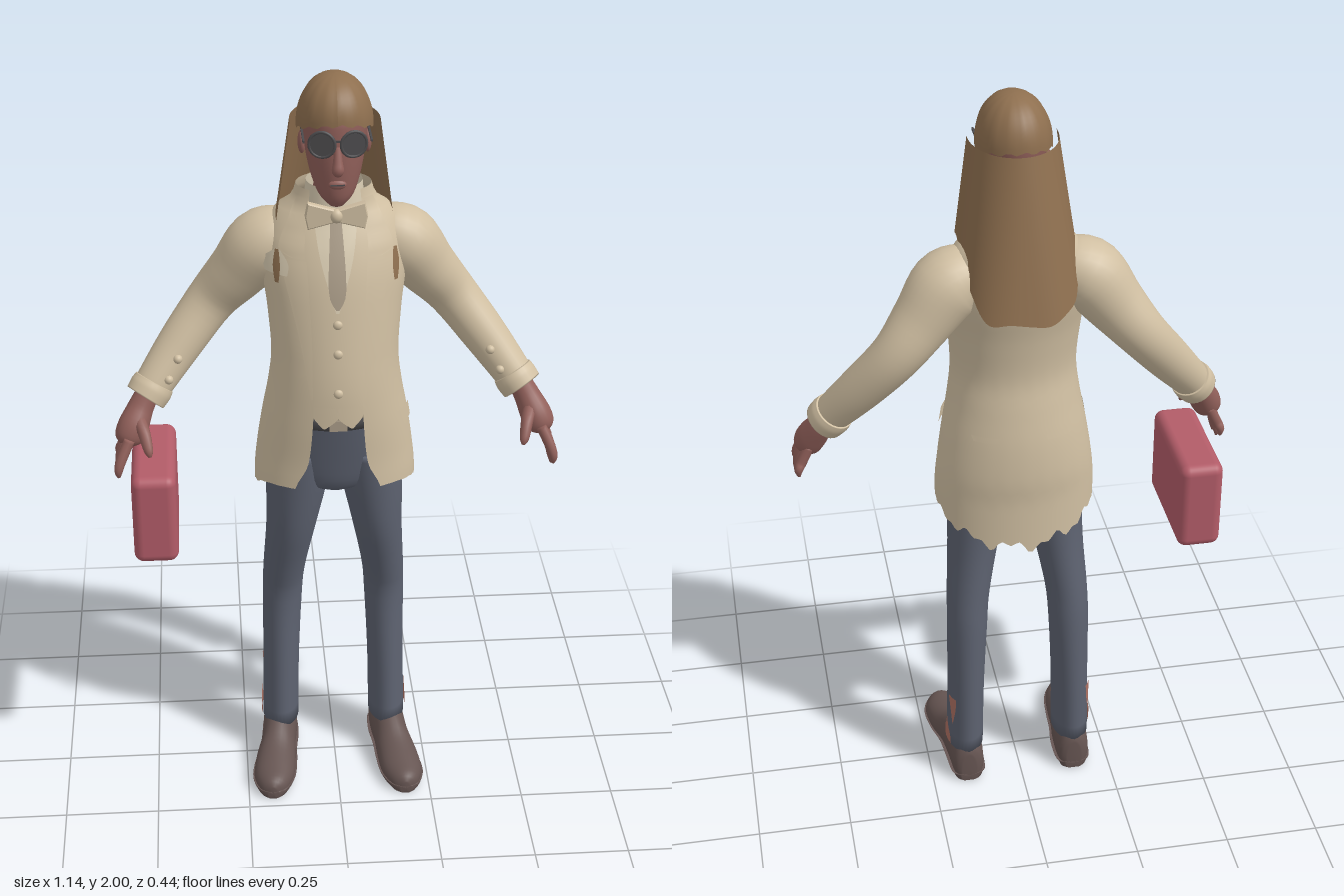
import * as THREE from 'three';
import { RoundedBoxGeometry } from 'three/addons/geometries/RoundedBoxGeometry.js';

const colours = {
  coatCream: 0xd0bfa2, shirtCream: 0xd9ccb2, tieGrey: 0xa99b87, hairBrown: 0x8e6f4f, skin: 0x91605a,
  trouserBlue: 0x5d6270, shoeBrown: 0x665552, caseRed: 0xb25c68, darkGrey: 0x4c4b4d, tornSkin: 0xac7062,
};
const mat = {};
for (const [name, color] of Object.entries(colours)) {
  mat[name] = new THREE.MeshStandardMaterial({ color, side: THREE.DoubleSide });
  mat[name].name = name;
}

const { sin, cos, PI, floor, min, max, abs, asin, sign } = Math;

// smooth interpolation between table rows, t counted in rows
function rowAt(rows, t) {
  const last = rows.length - 1, i = max(0, min(floor(t), last - 1)), f = t - i;
  const a = rows[max(i - 1, 0)], b = rows[i], c = rows[i + 1], d = rows[min(i + 2, last)];
  return b.map((p, k) => 0.5 * (2 * p + (c[k] - a[k]) * f + (2 * a[k] - 5 * p + 4 * c[k] - d[k]) * f * f
    + (3 * p - a[k] - 3 * c[k] + d[k]) * f ** 3));
}
// the same, looked up by height (first column)
function rowAtY(rows, y) {
  const last = rows.length - 1;
  if (y <= rows[0][0]) return rows[0];
  if (y >= rows[last][0]) return rows[last];
  const i = rows.findIndex((r) => r[0] > y) - 1;
  return rowAt(rows, i + (y - rows[i][0]) / (rows[i + 1][0] - rows[i][0]));
}
// surface from fn(u, v); closed wraps u and caps both ends
function surface(fn, nu, nv, closed = false) {
  const pos = [], idx = [], w = closed ? nu : nu + 1;
  for (let j = 0; j <= nv; j++) for (let i = 0; i < w; i++) pos.push(...fn(i / nu, j / nv));
  for (let j = 0; j < nv; j++) for (let i = 0; i < nu; i++) {
    const a = j * w + i, b = j * w + (i + 1) % w;
    idx.push(a, b, b + w, a, b + w, a + w);
  }
  if (closed) for (const j of [0, nv]) {
    const c = [0, 0, 0], k = pos.length / 3;
    for (let i = 0; i < w; i++) for (let q = 0; q < 3; q++) c[q] += pos[(j * w + i) * 3 + q] / w;
    pos.push(...c);
    for (let i = 0; i < w; i++) {
      const a = j * w + i, b = j * w + (i + 1) % w;
      idx.push(...(j ? [a, b, k] : [b, a, k]));
    }
  }
  const g = new THREE.BufferGeometry();
  g.setAttribute('position', new THREE.Float32BufferAttribute(pos, 3));
  g.setIndex(idx);
  g.computeVertexNormals();
  return g;
}
// point on a horizontal oval [y, halfWidth, zFront, zBack, centreX]; angle 0 faces front
function oval([y, hw, zf, zb, cx = 0], a, off = 0) {
  return [cx + (hw + off) * sin(a), y, (zf + zb) / 2 + ((zf - zb) / 2 + off) * cos(a)];
}
const loft = (rows, nu = 32, nv = rows.length * 3) =>
  surface((u, v) => oval(rowAt(rows, v * (rows.length - 1)), u * 2 * PI), nu, nv, true);
// limb through rows [x, y, z, radius]
function limb(rows, nu = 20, nv = rows.length * 4) {
  const at = (t) => new THREE.Vector3(...rowAt(rows, t));
  return surface((u, v) => {
    const t = v * (rows.length - 1), r = rowAt(rows, t)[3];
    const T = at(t + 0.02).sub(at(t - 0.02)).normalize();
    const V = new THREE.Vector3(0, 0, 1).addScaledVector(T, -T.z).normalize();
    const U = T.clone().cross(V);
    return at(t).addScaledVector(U, r * sin(u * 2 * PI)).addScaledVector(V, r * cos(u * 2 * PI)).toArray();
  }, nu, nv, true);
}
const ball = (x, y, z, rx, ry = rx, rz = rx) =>
  new THREE.SphereGeometry(1, 20, 14).scale(rx, ry, rz).translate(x, y, z);
const box = (w, h, d, x, y, z) => new THREE.BoxGeometry(w, h, d).translate(x, y, z);
function mirrored(g) {
  const m = g.clone().scale(-1, 1, 1), k = m.index.array;
  for (let i = 0; i < k.length; i += 3) [k[i], k[i + 1]] = [k[i + 1], k[i]];
  return m;
}

// coat body: y, half width, front z, back z, half opening
const COAT = [
  [0.93, 0.21, 0.145, -0.155, 0.11], [1.0, 0.203, 0.145, -0.16, 0.078], [1.1, 0.188, 0.15, -0.155, 0.066],
  [1.2, 0.17, 0.15, -0.14, 0.062], [1.28, 0.162, 0.143, -0.128, 0.064], [1.4, 0.17, 0.125, -0.14, 0.07],
  [1.5, 0.182, 0.105, -0.16, 0.075], [1.58, 0.178, 0.078, -0.165, 0.078], [1.64, 0.15, 0.05, -0.15, 0.072],
  [1.67, 0.11, 0.04, -0.12, 0.066], [1.71, 0.094, 0.035, -0.11, 0.062],
];
const onCoat = (y, a, off) => { const r = rowAtY(COAT, y); return oval([y, r[1], r[2], r[3]], a, off); };
// cloth plate lying on the coat: rows [y, x0, x1]
const plate = (rows, off, back = false) => surface((u, v) => {
  const [y, x0, x1] = rowAt(rows, v * (rows.length - 1));
  const a = asin((x0 + (x1 - x0) * u) / rowAtY(COAT, y)[1]);
  return onCoat(y, back ? PI - a : a, off);
}, 6, (rows.length - 1) * 4);

const LEG = [
  [0.1, 0.05, 0.025, -0.135, 0.15], [0.3, 0.05, 0.013, -0.137, 0.146], [0.5, 0.054, 0.002, -0.133, 0.14],
  [0.6, 0.057, 0.022, -0.125, 0.134], [0.75, 0.067, 0.065, -0.112, 0.115], [0.9, 0.082, 0.086, -0.11, 0.098],
  [1.0, 0.08, 0.095, -0.115, 0.09],
];
const legPatch = (rows) => surface((u, v) => {
  const [y, a0, a1] = rowAt(rows, v * (rows.length - 1));
  return oval(rowAtY(LEG, y), a0 + (a1 - a0) * u, 0.004);
}, 5, 8);
// shoe sections: z, half width, height, centre x
const SHOE = [
  [-0.138, 0.02, 0.09, 0.15], [-0.12, 0.042, 0.125, 0.15], [-0.05, 0.048, 0.14, 0.152], [0.02, 0.048, 0.115, 0.16],
  [0.08, 0.055, 0.085, 0.17], [0.15, 0.055, 0.066, 0.178], [0.2, 0.036, 0.054, 0.182], [0.218, 0.01, 0.035, 0.183],
];
const shoe = (grow, cut) => surface((u, v) => {
  const [z, hw, h, cx] = rowAt(SHOE, v * (SHOE.length - 1)), a = u * 2 * PI;
  return [cx + (hw + grow) * cos(a), max(0, min(cut, h * (0.4 + 0.6 * sin(a)))), z];
}, 28, 28, true);

export function createModel() {
  const model = new THREE.Group();
  model.name = 'suitedFigure';
  const add = (name, g, m) => {
    const mesh = new THREE.Mesh(g, mat[m]);
    mesh.name = name;
    model.add(mesh);
  };
  const pair = (name, g, m) => { add(name + 'Left', g, m); add(name + 'Right', mirrored(g), m); };

  // trousers, torn at the outer ankles
  add('trouserSeat', loft([[0.88, 0.05, 0.05, -0.07], [0.91, 0.13, 0.08, -0.105], [1.0, 0.168, 0.1, -0.12],
    [1.13, 0.155, 0.125, -0.115]]), 'trouserBlue');
  pair('trouserLeg', loft(LEG), 'trouserBlue');
  pair('upperTear', legPatch([[0.2, 2.2, 2.22], [0.245, 2.05, 2.38], [0.28, 1.9, 2.42]]), 'tornSkin');
  pair('lowerTear', legPatch([[0.115, 1.3, 2.1], [0.15, 1.35, 2.05], [0.17, 1.6, 1.9], [0.2, 1.72, 1.75]]), 'tornSkin');
  pair('shoe', shoe(0, 1), 'shoeBrown');
  pair('shoeSole', shoe(0.004, 0.022), 'shoeBrown');
  add('belt', loft([[1.1, 0.158, 0.132, -0.118], [1.135, 0.157, 0.132, -0.118]], 32, 2), 'darkGrey');
  add('buckle', box(0.045, 0.03, 0.008, 0, 1.118, 0.135), 'tieGrey');

  // waistcoat, tie and collar
  add('waistcoat', loft(COAT.slice(2, 10).map(([y, w, f, b], i) => [i ? y : 1.135, w - 0.014, f - 0.012, b + 0.014])), 'coatCream');
  pair('waistcoatPoint', plate([[1.11, 0.035, 0.04], [1.14, 0.0, 0.066], [1.17, 0.0, 0.066]], -0.01), 'coatCream');
  add('shirtFront', plate([[1.42, -0.004, 0.004], [1.55, -0.042, 0.042], [1.66, -0.058, 0.058]], -0.007), 'shirtCream');
  add('tie', plate([[1.43, -0.004, 0.004], [1.48, -0.022, 0.022], [1.64, -0.014, 0.014]], -0.002), 'tieGrey');
  for (const y of [1.21, 1.315, 1.39]) add('waistcoatButton', ball(0, y, onCoat(y, 0, -0.01)[2], 0.012, 0.012, 0.008), 'coatCream');
  add('neck', new THREE.CylinderGeometry(0.05, 0.055, 0.16, 24).translate(0, 1.69, -0.01), 'skin');
  add('shirtCollar', new THREE.CylinderGeometry(0.07, 0.078, 0.08, 28, 1, true).translate(0, 1.685, -0.02), 'shirtCream');
  const bow = new THREE.Shape([[0, 0.012], [0.068, 0.032], [0.074, 0], [0.068, -0.03], [0, -0.012],
    [-0.068, -0.03], [-0.074, 0], [-0.068, 0.032]].map((p) => new THREE.Vector2(...p)));
  add('bowTie', new THREE.ExtrudeGeometry(bow, { depth: 0.014, bevelSize: 0.003, bevelThickness: 0.003, bevelSegments: 1 })
    .translate(0, 1.66, 0.054), 'coatCream');
  add('bowKnot', ball(0, 1.66, 0.066, 0.016, 0.018, 0.014), 'coatCream');

  // open coat with a long ragged tail
  add('coatBody', surface((u, v) => {
    const side = 2 * u - 1, back = (1 + cos(side * PI)) / 2;
    const low = 0.93 - 0.13 * back ** 1.2 + back * (0.013 * sin(u * 57) + 0.01 * sin(u * 131));
    const y = low + (1.71 - low) * v, r = rowAtY(COAT, y), a0 = asin(r[4] / r[1]);
    return onCoat(y, a0 + u * (2 * PI - 2 * a0), 0);
  }, 96, 40), 'coatCream');
  pair('lapel', plate([[1.2, 0.062, 0.066], [1.35, 0.062, 0.09], [1.52, 0.07, 0.128], [1.55, 0.072, 0.135]], 0.008), 'coatCream');
  pair('upperLapel', plate([[1.555, 0.074, 0.105], [1.575, 0.075, 0.135], [1.64, 0.07, 0.11], [1.69, 0.062, 0.085]], 0.009), 'coatCream');
  pair('backPocketFlap', plate([[1.12, 0.06, 0.12], [1.135, 0.055, 0.125]], 0.007, true), 'coatCream');
  pair('sidePocketFlap', surface((u, v) => onCoat(1.09 + 0.04 * v, 0.95 + 0.45 * u, 0.007), 6, 2), 'coatCream');
  add('pocketSquare', plate([[1.51, -0.165, -0.115], [1.54, -0.168, -0.112], [1.57, -0.14, -0.13]], 0.012), 'shirtCream');
  pair('chestLock', plate([[1.49, 0.134, 0.142], [1.53, 0.13, 0.146], [1.57, 0.132, 0.14]], 0.013), 'hairBrown');

  // sleeves and cuffs
  pair('sleeve', limb([[0.11, 1.57, -0.055, 0.07], [0.175, 1.54, -0.063, 0.09], [0.24, 1.46, -0.08, 0.077],
    [0.31, 1.375, -0.095, 0.064], [0.39, 1.275, -0.06, 0.058], [0.46, 1.185, -0.015, 0.05], [0.482, 1.155, 0, 0.046]], 28), 'coatCream');
  pair('cuff', limb([[0.462, 1.183, -0.015, 0.053], [0.472, 1.168, -0.008, 0.056], [0.487, 1.148, 0.002, 0.054]], 28), 'coatCream');
  for (const [x, y, z] of [[0.4, 1.255, 0.004], [0.425, 1.205, 0.02]]) pair('cuffButton', ball(x, y, z, 0.012), 'coatCream');

  // hands
  pair('palm', limb([[0.478, 1.165, 0, 0.03], [0.5, 1.125, 0.015, 0.034], [0.52, 1.085, 0.036, 0.04],
    [0.534, 1.055, 0.046, 0.036], [0.54, 1.04, 0.05, 0.02]]), 'skin');
  const fingers = [[0.078, 0.105, 0.972], [0.057, 0.075, 0.958], [0.034, 0.04, 0.962], [0.016, 0.006, 0.982]];
  for (const [z0, z1, tip] of fingers)
    pair('finger', limb([[0.53, 1.065, z0, 0.014], [0.552, 1.02, (z0 + z1) / 2 + 0.004, 0.014], [0.561, tip + 0.02, z1, 0.011],
      [0.561, tip, z1, 0.004]], 10), 'skin');
  pair('thumb', limb([[0.507, 1.11, 0.035, 0.018], [0.492, 1.085, 0.08, 0.016], [0.482, 1.05, 0.11, 0.012], [0.478, 1.035, 0.118, 0.004]], 10), 'skin');

  // head and face
  add('head', loft([[1.692, 0.02, 0.085, 0.03], [1.715, 0.042, 0.097, 0.0], [1.75, 0.058, 0.103, -0.05], [1.8, 0.07, 0.107, -0.085],
    [1.86, 0.078, 0.106, -0.098], [1.92, 0.082, 0.1, -0.1], [1.97, 0.055, 0.06, -0.06]], 36), 'skin');
  add('nose', limb([[0, 1.85, 0.102, 0.008], [0, 1.815, 0.112, 0.012], [0, 1.795, 0.115, 0.015], [0, 1.785, 0.108, 0.008]], 14), 'skin');
  add('lips', ball(0, 1.755, 0.101, 0.022, 0.012, 0.009), 'skin');
  add('mouth', box(0.034, 0.003, 0.006, 0, 1.756, 0.107), 'darkGrey');
  pair('ear', ball(0.08, 1.83, 0, 0.01, 0.03, 0.018), 'skin');

  // round dark glasses
  pair('lens', new THREE.CylinderGeometry(0.031, 0.031, 0.008, 28).rotateX(PI / 2).rotateY(0.2).translate(0.038, 1.862, 0.113), 'darkGrey');
  pair('lensRim', new THREE.TorusGeometry(0.031, 0.004, 8, 28).rotateY(0.2).translate(0.038, 1.862, 0.115), 'darkGrey');
  add('glassesBridge', box(0.02, 0.005, 0.005, 0, 1.87, 0.118), 'darkGrey');
  pair('glassesArm', box(0.005, 0.006, 0.11, 0.081, 1.868, 0.055), 'darkGrey');

  // hair crown with a fringe, and long hair hanging behind
  add('hairCrown', surface((u, v) => {
    const a = u * 2 * PI, t = v * PI / 2, rise = 0.014 * max(0, cos(a)) + 0.004 * sin(a * 14);
    const low = 1.89 + rise - 0.018 * sin(a) ** 2;
    return [0.094 * cos(t) ** 0.9 * sin(a), low + (2 - low) * sin(t), 0.11 * cos(t) ** 0.9 * cos(a)];
  }, 48, 14), 'hairBrown');
  add('longHair', surface((u, v) => {
    const p = (1 - 2 * u) * 1.68, down = 1 - v, s = sin(p), c = cos(p);
    const low = 1.49 + 0.15 * s ** 4 + 0.006 * sin(p * 9), y = 1.89 + (low - 1.89) * down;
    const k = (1.89 - y) / 0.4, q = 1 - 0.25 * k;
    const x = (0.11 + 0.055 * k) * sign(s) * abs(s) ** q;
    return [x, y, 0.008 - 0.03 * k - (0.138 + 0.06 * k) * sign(c) * abs(c) ** q];
  }, 48, 12), 'hairBrown');

  // suitcase
  add('suitcase', new RoundedBoxGeometry(0.115, 0.25, 0.32, 4, 0.025).translate(-0.473, 0.865, 0), 'caseRed');
  return model;
}
